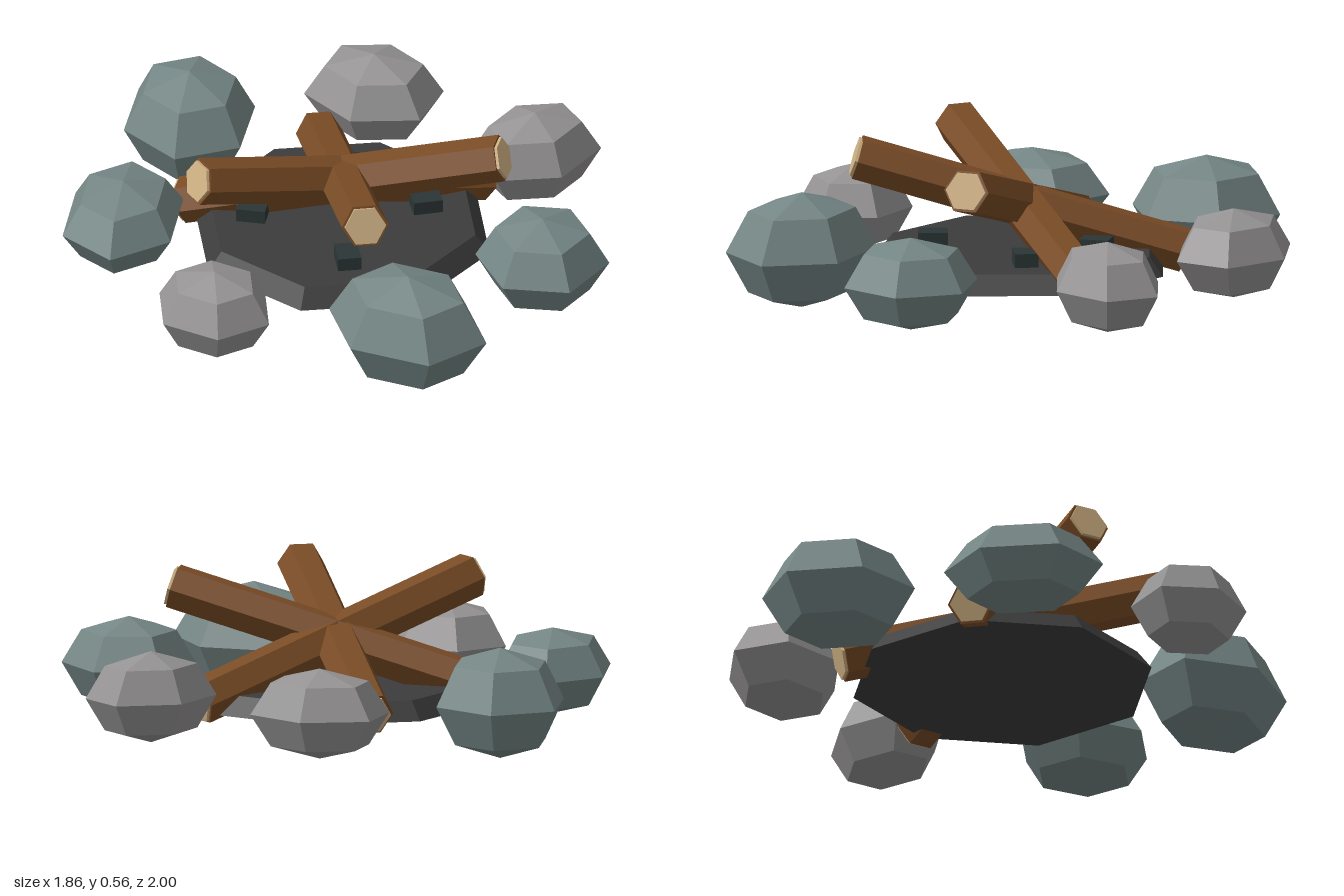
import * as THREE from 'three';

const material = (color) => new THREE.MeshStandardMaterial({ color, flatShading: true });
const ashMat = material(0x3c3c3c);
const coalMat = material(0x2b3535);
const barkMat = material(0x7a4c26);
const cutWoodMat = material(0xd0b284);
const greyStoneMat = material(0x959393);
const slateStoneMat = material(0x748685);

const CENTRE_X = -0.03;

function addMesh(parent, name, geometry, mat) {
  const mesh = new THREE.Mesh(geometry, mat);
  mesh.name = name;
  parent.add(mesh);
  return mesh;
}

// Six-sided log lying along x with pale cut ends, then tilted and turned
function makeLog(angle) {
  const log = new THREE.Group();
  log.name = 'log';
  const half = 0.58;
  const capDepth = 0.02;
  addMesh(log, 'bark', new THREE.CylinderGeometry(0.08, 0.08, half * 2, 6).rotateZ(Math.PI / 2), barkMat);
  for (const side of [-1, 1]) {
    const cap = addMesh(log, 'cutEnd',
      new THREE.CylinderGeometry(0.071, 0.071, capDepth, 6).rotateZ(Math.PI / 2), cutWoodMat);
    cap.position.x = side * half;
  }
  log.position.set(CENTRE_X, 0.327, 0);
  log.rotation.set(0, -angle, 0.29);
  return log;
}

// Faceted stone: a 6 x 4 sphere stretched so two neighbouring corners
// of its waist point along a and b (x, z offsets)
function makeStone({ at, a, b, h, mat }) {
  const k = Math.sqrt(3) / 2;
  const basis = new THREE.Matrix4().makeBasis(
    new THREE.Vector3(a[0], 0, a[1]),
    new THREE.Vector3(0, h, 0),
    new THREE.Vector3((b[0] - a[0] / 2) / k, 0, (b[1] - a[1] / 2) / k)
  );
  const stone = new THREE.Mesh(new THREE.SphereGeometry(1, 6, 4).applyMatrix4(basis), mat);
  stone.name = 'stone';
  stone.position.set(at[0], 0.2, at[1]);
  return stone;
}

export function createModel() {
  const model = new THREE.Group();
  model.name = 'campfire';

  // Ash bed
  const ash = addMesh(model, 'ashBed', new THREE.CylinderGeometry(0.47, 0.52, 0.065, 8), ashMat);
  ash.position.set(CENTRE_X, 0.15, 0);

  // Coals: x, z, turn
  for (const [x, z, turn] of [[0.155, -0.2, 0.9], [0.24, 0.1, -0.3], [-0.16, 0.27, 1.2], [-0.3, -0.14, -0.7]]) {
    const coal = addMesh(model, 'coal', new THREE.BoxGeometry(0.1, 0.06, 0.08), coalMat);
    coal.position.set(x, 0.2, z);
    coal.rotation.y = turn;
  }

  // Three crossed logs, each resting on one end
  for (let i = 0; i < 3; i++) model.add(makeLog(Math.PI - i * 1.2));

  // Ring of stones
  const ring = new THREE.Group();
  ring.name = 'stoneRing';
  model.add(ring);
  const stones = [
    { at: [0.72, 0], a: [0.207, 0.09], b: [0, 0.187], h: 0.157, mat: greyStoneMat },
    { at: [0.415, 0.595], a: [0.21, -0.1], b: [0.185, 0.135], h: 0.16, mat: slateStoneMat },
    { at: [-0.19, 0.74], a: [0.18, 0.225], b: [-0.06, 0.255], h: 0.2, mat: slateStoneMat },
    { at: [-0.71, 0.325], a: [0.085, -0.178], b: [0.198, 0], h: 0.15, mat: greyStoneMat },
    { at: [-0.7, -0.325], a: [0.17, -0.213], b: [0.235, 0], h: 0.147, mat: slateStoneMat },
    { at: [-0.2, -0.755], a: [-0.06, -0.245], b: [0.17, -0.2], h: 0.19, mat: slateStoneMat },
    { at: [0.425, -0.59], a: [-0.05, -0.23], b: [0.16, -0.12], h: 0.155, mat: greyStoneMat },
  ];
  for (const stone of stones) ring.add(makeStone(stone));

  return model;
}
